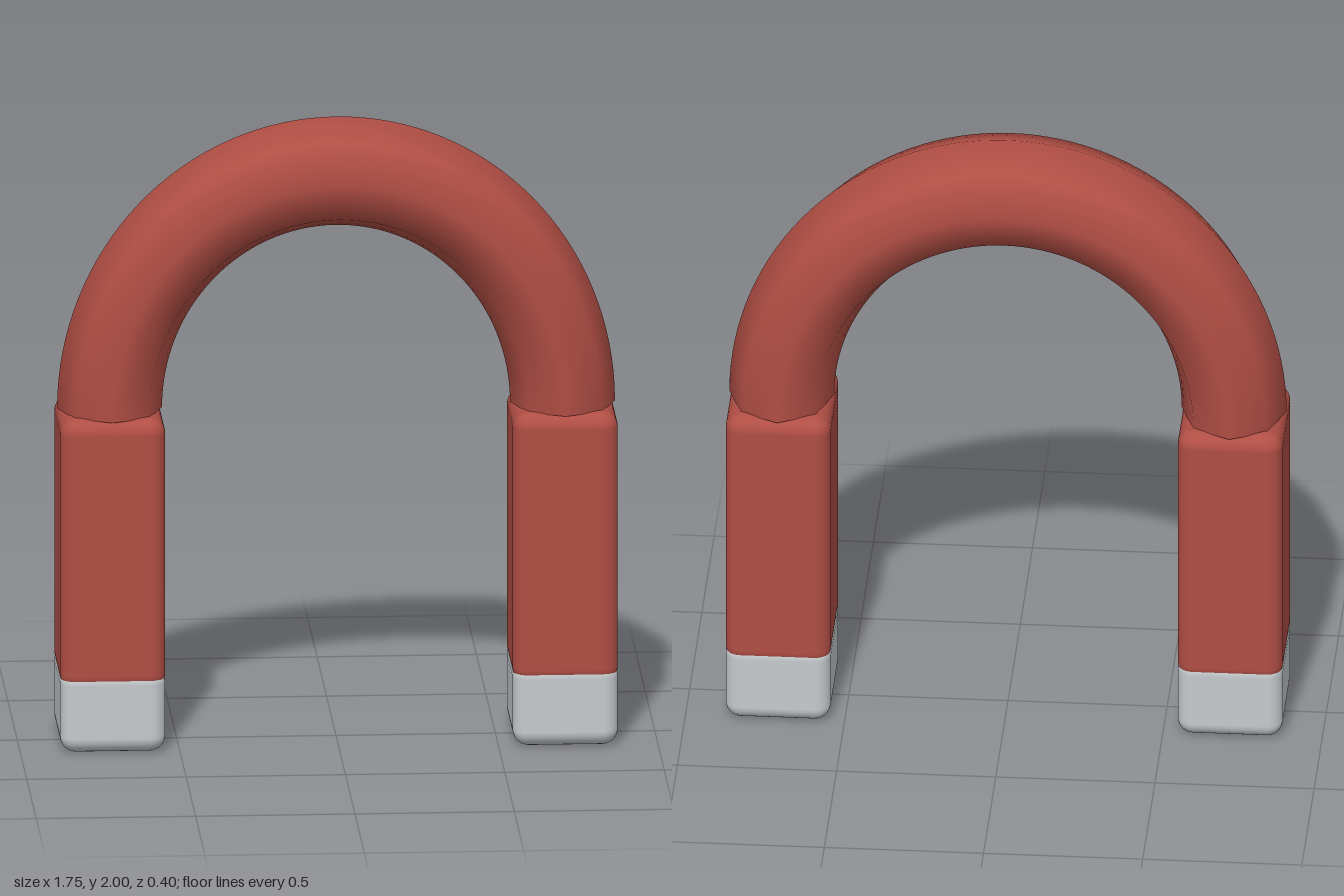
import * as THREE from 'three';
import { RoundedBoxGeometry } from 'three/addons/geometries/RoundedBoxGeometry.js';

export function createModel() {
  const model = new THREE.Group();
  model.name = 'horseshoeMagnet';

  const red = new THREE.MeshStandardMaterial({ color: 0xb04e44, side: THREE.DoubleSide });
  red.name = 'red paint';
  const steel = new THREE.MeshStandardMaterial({ color: 0xc6cbce });
  steel.name = 'bare steel';

  const add = (name, geometry, material, x, y) => {
    const mesh = new THREE.Mesh(geometry, material);
    mesh.name = name;
    mesh.position.set(x, y, 0);
    model.add(mesh);
    return mesh;
  };

  // Half ring with an eight-sided section, narrowed in x and thickened in z
  const arch = new THREE.TorusGeometry(0.755, 0.175, 8, 64, Math.PI);
  arch.scale(0.941, 1, 1.143);
  add('arch', arch, red, 0, 1.07);

  // Rounded block spanning a height range
  const block = (bottom, top) => new RoundedBoxGeometry(0.33, top - bottom, 0.4, 4, 0.05);

  // Legs and pole tips overlap slightly, leaving a fine groove between them
  for (const [side, s] of [['left', 1], ['right', -1]]) {
    add(side + 'Leg', block(0.2, 1.075), red, s * 0.71, (0.2 + 1.075) / 2);
    add(side + 'PoleTip', block(0, 0.27), steel, s * 0.71, 0.135);
  }
  return model;
}
